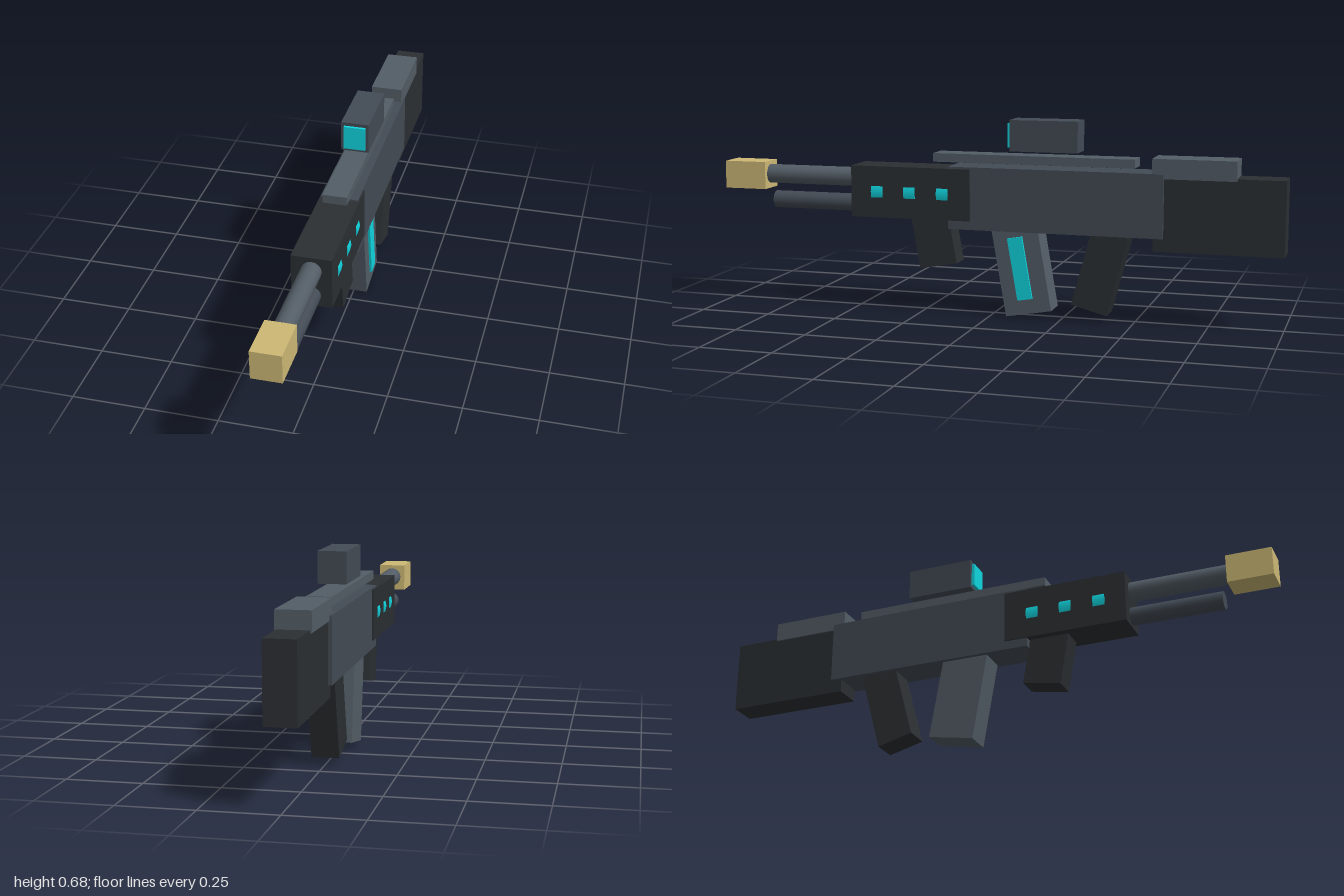
import * as THREE from 'three';

const paint = (color) => new THREE.MeshStandardMaterial({ color });

export function createModel() {
  const model = new THREE.Group();
  const dark = paint(0x2b2f32);
  const mid = paint(0x434b55);
  const light = paint(0x535d66);
  const gold = paint(0xcdb975);
  const cyan = paint(0x10d6e0);

  function add(name, geometry, material, x, y, z, tilt = 0) {
    const mesh = new THREE.Mesh(geometry, material);
    mesh.name = name;
    mesh.position.set(x, y, z);
    mesh.rotation.x = THREE.MathUtils.degToRad(tilt);
    model.add(mesh);
  }

  // Upright box centred on x, given by its width and its y and z extents
  function block(name, material, width, y0, y1, z0, z1) {
    add(name, new THREE.BoxGeometry(width, y1 - y0, z1 - z0), material, 0, (y0 + y1) / 2, (z0 + z1) / 2);
  }

  // Box leaning forward or back about its centre
  function leaning(name, material, size, x, y, z, tilt) {
    add(name, new THREE.BoxGeometry(...size), material, x, y, z, tilt);
  }

  // Round bar lying along z
  function bar(name, material, radius, y, z0, z1) {
    const geometry = new THREE.CylinderGeometry(radius, radius, z1 - z0, 16);
    add(name, geometry, material, 0, y, (z0 + z1) / 2, 90);
  }

  // Body
  block('receiver', mid, 0.126, 0.3, 0.517, -0.6, 0.15);
  block('handguard', dark, 0.135, 0.33, 0.51, 0.07, 0.505);
  block('stock', dark, 0.102, 0.255, 0.508, -1, -0.565);
  block('cheekRest', light, 0.112, 0.5, 0.567, -0.84, -0.56);

  // Barrels and muzzle
  bar('upperBarrel', light, 0.034, 0.462, 0.4, 0.9);
  bar('lowerBarrel', mid, 0.031, 0.37, 0.4, 0.823);
  block('muzzle', gold, 0.099, 0.41, 0.508, 0.845, 1);

  // Floating rail and sight
  block('topRail', light, 0.082, 0.53, 0.56, -0.5, 0.21);
  block('sight', mid, 0.096, 0.575, 0.682, -0.305, -0.067);
  block('sightLens', cyan, 0.075, 0.587, 0.67, -0.08, -0.057);

  // Grips and magazine
  leaning('foregrip', dark, [0.082, 0.2, 0.136], 0, 0.262, 0.21, 10);
  leaning('magazine', light, [0.096, 0.35, 0.163], 0, 0.187, -0.106, 10);
  leaning('magazineGlow', cyan, [0.017, 0.218, 0.053], 0.048, 0.172, -0.106, 10);
  leaning('rearGrip', dark, [0.092, 0.28, 0.128], 0, 0.175, -0.384, -15);

  // Glowing discs whose rims break through both sides of the handguard
  for (const z of [0.17, 0.29, 0.41]) {
    bar('energyCell', cyan, 0.0715, 0.42, z - 0.021, z + 0.021);
  }

  return model;
}
